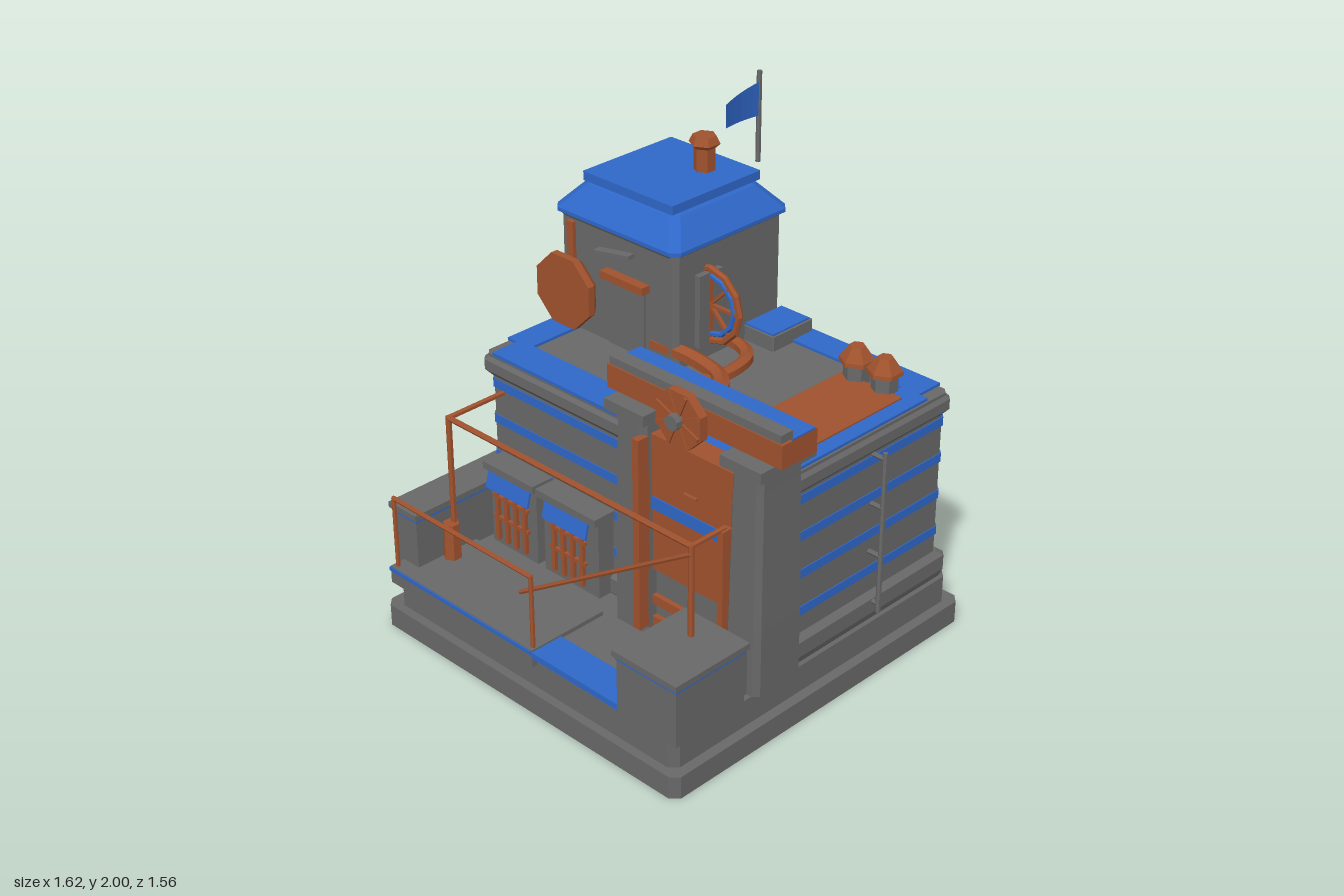
import * as THREE from 'three';

export function createModel() {
  const model = new THREE.Group();
  const material = (name, color) => {
    const m = new THREE.MeshStandardMaterial({ color, flatShading: true });
    m.name = name;
    return m;
  };
  const grey = material('stone grey', 0x686868);
  const blue = material('trim blue', 0x2f67c8);
  const rust = material('rust orange', 0xa0522d);

  const add = (name, geo, mat, x = 0, y = 0, z = 0) => {
    const m = new THREE.Mesh(geo, mat);
    m.name = name;
    m.position.set(x, y, z);
    model.add(m);
    return m;
  };
  const box = (name, mat, x0, x1, y0, y1, z0, z1) =>
    add(name, new THREE.BoxGeometry(x1 - x0, y1 - y0, z1 - z0), mat, (x0 + x1) / 2, (y0 + y1) / 2, (z0 + z1) / 2);

  // Stack of corner-cut rectangles; each tier is [y, inset, cornerCut]
  function tiers(name, mat, x0, x1, z0, z1, list) {
    const pos = [];
    const rings = list.map(([y, i, c]) => {
      const a = x0 + i, b = x1 - i, f = z0 + i, g = z1 - i;
      return [[a + c, g], [b - c, g], [b, g - c], [b, f + c], [b - c, f], [a + c, f], [a, f + c], [a, g - c]]
        .map(([x, z]) => [x, y, z]);
    });
    const tri = (...p) => p.forEach(v => pos.push(...v));
    for (let r = 0; r < rings.length - 1; r++) {
      for (let k = 0; k < 8; k++) {
        const n = (k + 1) % 8, lo = rings[r], hi = rings[r + 1];
        tri(lo[k], lo[n], hi[n]);
        tri(lo[k], hi[n], hi[k]);
      }
    }
    const top = rings[rings.length - 1], bottom = rings[0];
    for (let k = 1; k < 7; k++) {
      tri(top[0], top[k], top[k + 1]);
      tri(bottom[0], bottom[k + 1], bottom[k]);
    }
    const geo = new THREE.BufferGeometry();
    geo.setAttribute('position', new THREE.Float32BufferAttribute(pos, 3));
    geo.computeVertexNormals();
    return add(name, geo, mat);
  }

  // Straight rods joining consecutive points
  function rods(name, mat, r, points, sides = 6) {
    for (let i = 0; i < points.length - 1; i++) {
      const a = new THREE.Vector3(...points[i]), b = new THREE.Vector3(...points[i + 1]);
      const dir = b.clone().sub(a);
      const m = add(name, new THREE.CylinderGeometry(r, r, dir.length() + r, sides), mat);
      m.position.copy(a).add(b).multiplyScalar(0.5);
      m.quaternion.setFromUnitVectors(new THREE.Vector3(0, 1, 0), dir.normalize());
    }
  }
  const drum = (name, mat, x, z, y0, y1, r0, r1, sides = 6) =>
    add(name, new THREE.CylinderGeometry(r1, r0, y1 - y0, sides), mat, x, (y0 + y1) / 2, z);

  // Stepped base
  tiers('lowerBase', grey, -0.79, 0.74, -0.77, 0.765, [[0, 0, 0.03], [0.09, 0, 0.03]]);
  tiers('upperBase', grey, -0.75, 0.70, -0.735, 0.73, [[0.09, 0, 0.03], [0.2, 0, 0.03], [0.22, 0.02, 0.03]]);

  // Main building with stripes and cornice
  tiers('plinth', grey, -0.72, 0.71, -0.705, 0.29, [[0.22, 0.01, 0.02], [0.25, 0, 0.02], [0.31, 0, 0.02], [0.325, 0.02, 0.02]]);
  tiers('mainWalls', grey, -0.70, 0.68, -0.675, 0.27, [[0.24, 0, 0.015], [0.95, 0, 0.015]]);
  for (const y of [0.40, 0.555, 0.71, 0.86])
    tiers('wallStripe', blue, -0.704, 0.684, -0.679, 0.274, [[y, 0, 0.015], [y + 0.036, 0, 0.015]]);
  tiers('cornice', grey, -0.735, 0.70, -0.695, 0.29, [[0.9, 0.025, 0.02], [0.93, 0, 0.02], [0.97, 0, 0.02], [0.985, 0.012, 0.02], [0.997, 0.012, 0.02]]);
  box('roofTrimBack', blue, -0.72, 0.64, 0.995, 1.008, -0.69, -0.57);
  box('roofTrimFront', blue, -0.68, 0.68, 0.995, 1.008, 0.14, 0.28);
  box('roofTrimLeft', blue, 0.56, 0.68, 0.995, 1.008, -0.57, 0.14);
  box('roofTrimRight', blue, -0.73, -0.61, 0.995, 1.008, -0.57, 0.16);
  box('roofHatch', rust, 0.34, 0.62, 0.997, 1.014, -0.50, 0);
  tiers('roofBox', grey, -0.11, 0.04, -0.68, -0.46, [[0.99, 0, 0.005], [1.055, 0, 0.005]]);
  box('roofBoxLid', blue, -0.11, 0.03, 1.055, 1.062, -0.67, -0.47);
  for (const x of [0.40, 0.53]) {
    drum('ventBase', grey, x, -0.51, 0.99, 1.08, 0.05, 0.05);
    drum('ventSkirt', rust, x, -0.51, 1.075, 1.09, 0.068, 0.066);
    drum('ventDome', rust, x, -0.51, 1.09, 1.14, 0.066, 0.03);
  }

  // Tower and its hipped roof
  tiers('tower', grey, -0.71, -0.11, -0.665, -0.10, [[0.99, 0, 0.02], [1.45, 0, 0.02]]);
  tiers('towerEaves', grey, -0.725, -0.10, -0.68, -0.085, [[1.44, 0.012, 0.03], [1.46, 0, 0.03]]);
  tiers('towerRoof', blue, -0.73, -0.092, -0.688, -0.08, [[1.457, 0, 0.03], [1.472, 0, 0.03], [1.565, 0.08, 0.03], [1.578, 0.1, 0.03]]);
  tiers('roofCap', blue, -0.64, -0.18, -0.615, -0.155, [[1.575, 0, 0.003], [1.61, 0, 0.003]]);
  drum('chimney', rust, -0.335, -0.48, 1.6, 1.70, 0.042, 0.042);
  drum('chimneyCap', rust, -0.335, -0.48, 1.70, 1.715, 0.045, 0.06);
  drum('chimneyCap', rust, -0.335, -0.48, 1.715, 1.745, 0.06, 0.045);
  drum('flagPole', grey, -0.18, -0.60, 1.65, 2.0, 0.01, 0.01);

  // Flag: a plane narrowed toward its tip and curled sideways
  const flag = new THREE.PlaneGeometry(1, 1, 6, 1);
  const fp = flag.attributes.position;
  for (let i = 0; i < fp.count; i++) {
    const t = fp.getX(i) + 0.5, s = fp.getY(i);
    fp.setXYZ(i, -0.175 + 0.035 * t * t, 1.895 + s * (0.13 - 0.04 * t), -0.595 + 0.21 * t);
  }
  flag.computeVertexNormals();
  const flagBlue = blue.clone();
  flagBlue.side = THREE.DoubleSide;
  add('flag', flag, flagBlue);

  // Tower front: dish, conduit, doorway
  const dish = add('dish', new THREE.CylinderGeometry(0.152, 0.152, 0.03, 8), rust, -0.64, 1.16, -0.055);
  dish.rotation.set(Math.PI / 2, Math.PI / 8, 0);
  const dishBack = add('dishBack', new THREE.CylinderGeometry(0.152, 0.08, 0.08, 8), rust, -0.64, 1.16, -0.11);
  dishBack.rotation.set(Math.PI / 2, Math.PI / 8, 0);
  box('dishMount', rust, -0.66, -0.625, 1.25, 1.43, -0.11, -0.085);
  box('doorway', grey, -0.44, -0.26, 1.0, 1.27, -0.11, -0.09);
  box('doorLintel', rust, -0.46, -0.24, 1.27, 1.30, -0.11, -0.06);
  const vane = box('vane', grey, -0.47, -0.31, 1.38, 1.395, -0.085, -0.05);
  vane.rotation.set(0, 0.15, 0.1);

  // Wheel half sunk in the tower side
  box('wheelHousing', grey, -0.12, -0.085, 1.06, 1.35, -0.32, -0.20);
  add('wheelRim', new THREE.TorusGeometry(0.145, 0.014, 6, 12), rust, -0.09, 1.22, -0.26);
  add('wheelInnerRim', new THREE.TorusGeometry(0.118, 0.011, 6, 12), blue, -0.09, 1.22, -0.26);
  for (let i = 0; i < 4; i++) {
    const spoke = add('wheelSpoke', new THREE.BoxGeometry(0.27, 0.012, 0.015), rust, -0.09, 1.22, -0.26);
    spoke.rotation.z = i * Math.PI / 4;
  }

  // Roof pipes
  const pipe = (name, pts, r) => {
    const curve = new THREE.CatmullRomCurve3(pts.map(p => new THREE.Vector3(...p)));
    add(name, new THREE.TubeGeometry(curve, 14, r, 6), rust);
  };
  pipe('longPipe', [[-0.24, 1.065, -0.125], [-0.02, 1.065, -0.125], [0.13, 1.065, -0.085], [0.21, 1.065, 0.02], [0.225, 1.065, 0.17]], 0.032);
  pipe('shortPipe', [[-0.12, 1.04, -0.36], [-0.03, 1.04, -0.355], [0.05, 1.04, -0.31], [0.085, 1.04, -0.21], [0.083, 1.04, -0.05]], 0.027);
  drum('pipeElbow', rust, 0.083, -0.05, 1.0, 1.06, 0.042, 0.042);

  // Gate between two pillars
  for (const [x0, x1] of [[0.055, 0.215], [0.60, 0.755]]) {
    tiers('pillar', grey, x0, x1, 0.15, 0.385, [[0.235, 0, 0.02], [0.5, 0, 0.02], [1.04, 0.008, 0.02], [1.1, 0.008, 0.02]]);
    box('pillarCap', grey, x0 - 0.015, x1 + 0.015, 1.1, 1.142, 0.13, 0.40);
  }
  box('gateFrame', grey, 0.2, 0.62, 0.24, 0.52, 0.25, 0.325);
  box('gatePanel', rust, 0.2, 0.62, 0.5, 1.045, 0.25, 0.34);
  box('gateStripe', blue, 0.215, 0.585, 0.75, 0.80, 0.335, 0.345);
  box('gateHandle', rust, 0.37, 0.43, 0.87, 0.88, 0.34, 0.352);
  for (const y of [0.265, 0.355]) box('gateBar', rust, 0.2, 0.61, y, y + 0.038, 0.3, 0.345);
  box('gatePost', rust, 0.185, 0.215, 0.27, 1.045, 0.36, 0.41);
  box('gatePost', rust, 0.585, 0.61, 0.27, 0.85, 0.36, 0.405);
  drum('gateBell', rust, 0.225, 0.2, 1.0, 1.1, 0.04, 0.03);

  // Hoist beam with wheel
  box('hoistBeam', rust, 0, 0.81, 1.15, 1.24, 0.175, 0.345);
  box('hoistBeamTop', blue, 0, 0.81, 1.238, 1.247, 0.185, 0.295);
  box('hoistRail', grey, 0.02, 0.81, 1.25, 1.28, 0.295, 0.352);
  box('hoistRailFoot', grey, 0.1, 0.75, 1.235, 1.255, 0.3, 0.34);
  const hoistDisc = (name, mat, r, d, z) => {
    const m = add(name, new THREE.CylinderGeometry(r, r, d, 8), mat, 0.40, 1.2, z);
    m.rotation.set(Math.PI / 2, Math.PI / 8, 0);
  };
  hoistDisc('hoistWheel', rust, 0.112, 0.035, 0.39);
  hoistDisc('hoistHub', grey, 0.03, 0.1, 0.39);
  for (let i = 0; i < 4; i++) {
    const rib = add('hoistRib', new THREE.BoxGeometry(0.21, 0.014, 0.01), rust, 0.40, 1.2, 0.41);
    rib.rotation.z = i * Math.PI / 4 + Math.PI / 8;
  }

  // Front terrace
  box('terraceFloor', grey, -0.72, 0.60, 0.21, 0.245, 0.25, 0.72);
  box('terraceDeck', grey, -0.755, 0.025, 0.19, 0.262, 0.41, 0.755);
  box('deckTrim', blue, -0.757, 0.02, 0.243, 0.259, 0.74, 0.76);
  box('terraceTrim', blue, 0.025, 0.48, 0.23, 0.255, 0.615, 0.757);
  box('terraceSideTrim', blue, 0.525, 0.60, 0.23, 0.255, 0.38, 0.62);

  // Low walls with caps
  for (const [x0, x1, z0, z1] of [[-0.8, -0.67, -0.05, 0.69], [0.47, 0.75, 0.44, 0.77], [-0.74, -0.26, -0.77, -0.66]]) {
    box('lowWall', grey, x0, x1, 0.235, 0.46, z0, z1);
    box('lowWallTrim', blue, x0 - 0.003, x1 + 0.003, 0.455, 0.47, z0 - 0.003, z1 + 0.003);
    box('lowWallCap', grey, x0 - 0.012, x1 + 0.012, 0.47, 0.494, z0 - 0.012, z1 + 0.012);
  }
  box('pillarFoot', grey, 0.63, 0.71, 0.235, 0.44, 0.36, 0.45);

  // Front bays with awnings and grilles
  for (const [x0, x1] of [[-0.64, -0.39], [-0.35, -0.06]]) {
    const c = (x0 + x1) / 2 - 0.01;
    box('bay', grey, x0, x1, 0.24, 0.57, 0.25, 0.345);
    box('bayCap', grey, x0 - 0.015, x1 + 0.01, 0.565, 0.595, 0.25, 0.372);
    const awning = box('awning', blue, c - 0.115, c + 0.115, 0.488, 0.56, 0.358, 0.367);
    awning.rotation.x = -0.25;
    for (const dx of [-0.075, -0.025, 0.025, 0.075])
      box('grilleBar', rust, c + dx - 0.009, c + dx + 0.009, 0.27, 0.48, 0.345, 0.36);
    for (const y of [0.36, 0.45]) box('grilleCrossbar', rust, c - 0.095, c + 0.095, y, y + 0.014, 0.345, 0.358);
  }

  // Railings
  rods('highRail', rust, 0.011, [[-0.64, 0.85, 0.27], [-0.64, 0.85, 0.535], [0.59, 0.85, 0.535], [0.59, 0.85, 0.38]]);
  rods('highRailPost', rust, 0.012, [[-0.64, 0.26, 0.535], [-0.64, 0.85, 0.535]]);
  rods('highRailPost', rust, 0.012, [[0.59, 0.23, 0.535], [0.59, 0.85, 0.535]]);
  rods('diagonalBrace', rust, 0.009, [[-0.27, 0.27, 0.54], [0.59, 0.82, 0.54]]);
  drum('railCanister', rust, -0.64, 0.55, 0.26, 0.41, 0.036, 0.032);
  rods('lowRail', rust, 0.009, [[-0.735, 0.26, 0.735], [-0.735, 0.555, 0.735], [0.01, 0.555, 0.735], [0.01, 0.19, 0.735]]);

  // Side mast, ladder pole and rear ring
  drum('mastFoot', rust, -0.76, 0.04, 0.49, 0.59, 0.04, 0.03);
  drum('mast', rust, -0.76, 0.04, 0.59, 0.91, 0.018, 0.018);
  rods('sidePole', grey, 0.01, [[0.735, 0.27, -0.28], [0.735, 0.92, -0.28]]);
  for (const y of [0.3, 0.5, 0.7, 0.9]) rods('poleBracket', grey, 0.009, [[0.67, y, -0.28], [0.735, y, -0.28]]);
  add('rearRing', new THREE.TorusGeometry(0.062, 0.012, 6, 10), rust, -0.42, 0.735, -0.69);
  box('ringHanger', rust, -0.43, -0.41, 0.79, 0.83, -0.695, -0.67);

  return model;
}
